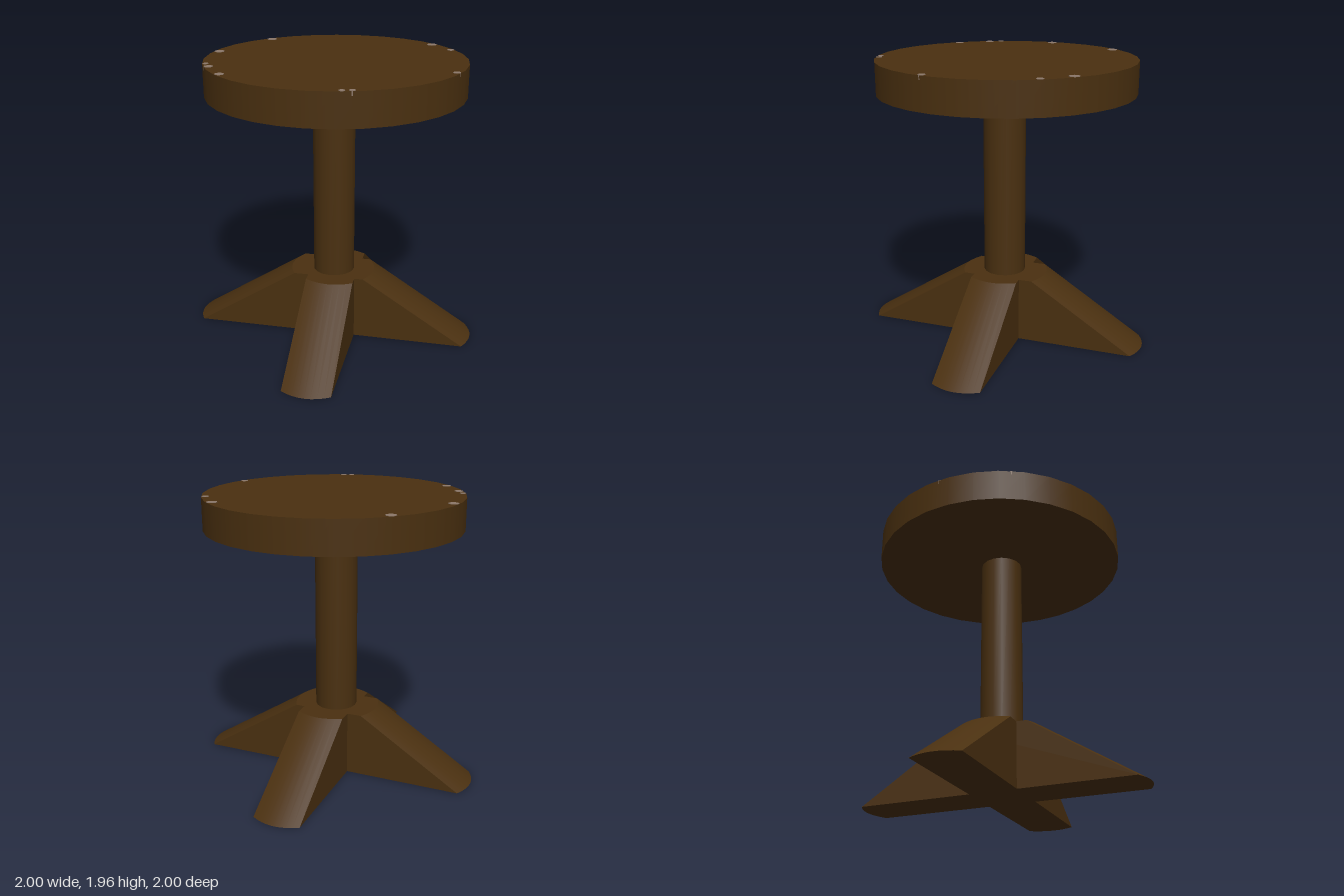
import * as THREE from 'three';
import { toCreasedNormals } from 'three/addons/utils/BufferGeometryUtils.js';

const wood = new THREE.MeshStandardMaterial({ color: 0x4a3010 });
wood.name = 'dark wood';
const worn = new THREE.MeshStandardMaterial({ color: 0x8c786a });
worn.name = 'worn edge';

function add(parent, name, geometry, material, x, y, z) {
  const mesh = new THREE.Mesh(geometry, material);
  mesh.name = name;
  mesh.position.set(x, y, z);
  parent.add(mesh);
  return mesh;
}

// Foot beam: bow-ended plank whose ends slope in towards a short top
function beamGeometry() {
  const half = 0.165, height = 0.45, inset = 0.705;
  const plan = new THREE.Shape();
  plan.moveTo(-0.95, -half);
  plan.lineTo(0.95, -half);
  plan.quadraticCurveTo(1.05, 0, 0.95, half);
  plan.lineTo(-0.95, half);
  plan.quadraticCurveTo(-1.05, 0, -0.95, -half);
  const geometry = new THREE.ExtrudeGeometry(plan, { depth: height, bevelEnabled: false, curveSegments: 8 });
  const p = geometry.attributes.position;
  for (let i = 0; i < p.count; i++) {
    if (p.getZ(i) > height / 2) p.setX(i, p.getX(i) - Math.sign(p.getX(i)) * inset);
  }
  geometry.rotateX(-Math.PI / 2);
  return toCreasedNormals(geometry, 0.5);
}

export function createModel() {
  const stool = new THREE.Group();
  stool.name = 'stool';

  // Round seat
  add(stool, 'seat', new THREE.CylinderGeometry(0.87, 0.87, 0.22, 32), wood, 0.015, 1.85, -0.008);

  // Central post
  add(stool, 'post', new THREE.CylinderGeometry(0.145, 0.145, 1.3, 16), wood, 0.007, 1.1, 0.01);

  // Two crossed beams forming four feet
  const beam = beamGeometry();
  add(stool, 'sideFeet', beam, wood, 0, 0.006, 0.01);
  add(stool, 'frontAndBackFeet', beam, wood, 0.02, 0.006, 0).rotation.y = Math.PI / 2;

  // Small worn spots on the seat's upper rim: angle in degrees from +x towards +z, radius
  const spots = [
    [-136, 0.035], [-47, 0.035], [-32, 0.025], [17, 0.025], [72, 0.02], [76, 0.02],
    [136, 0.03], [152, 0.03], [158, 0.02], [185, 0.035],
  ];
  for (const [degrees, size] of spots) {
    const a = THREE.MathUtils.degToRad(degrees);
    const r = 0.867 - size;
    add(stool, 'wornSpot', new THREE.CylinderGeometry(size, size, 0.03, 10), worn,
      0.015 + r * Math.cos(a), 1.948, -0.008 + r * Math.sin(a));
  }
  return stool;
}
